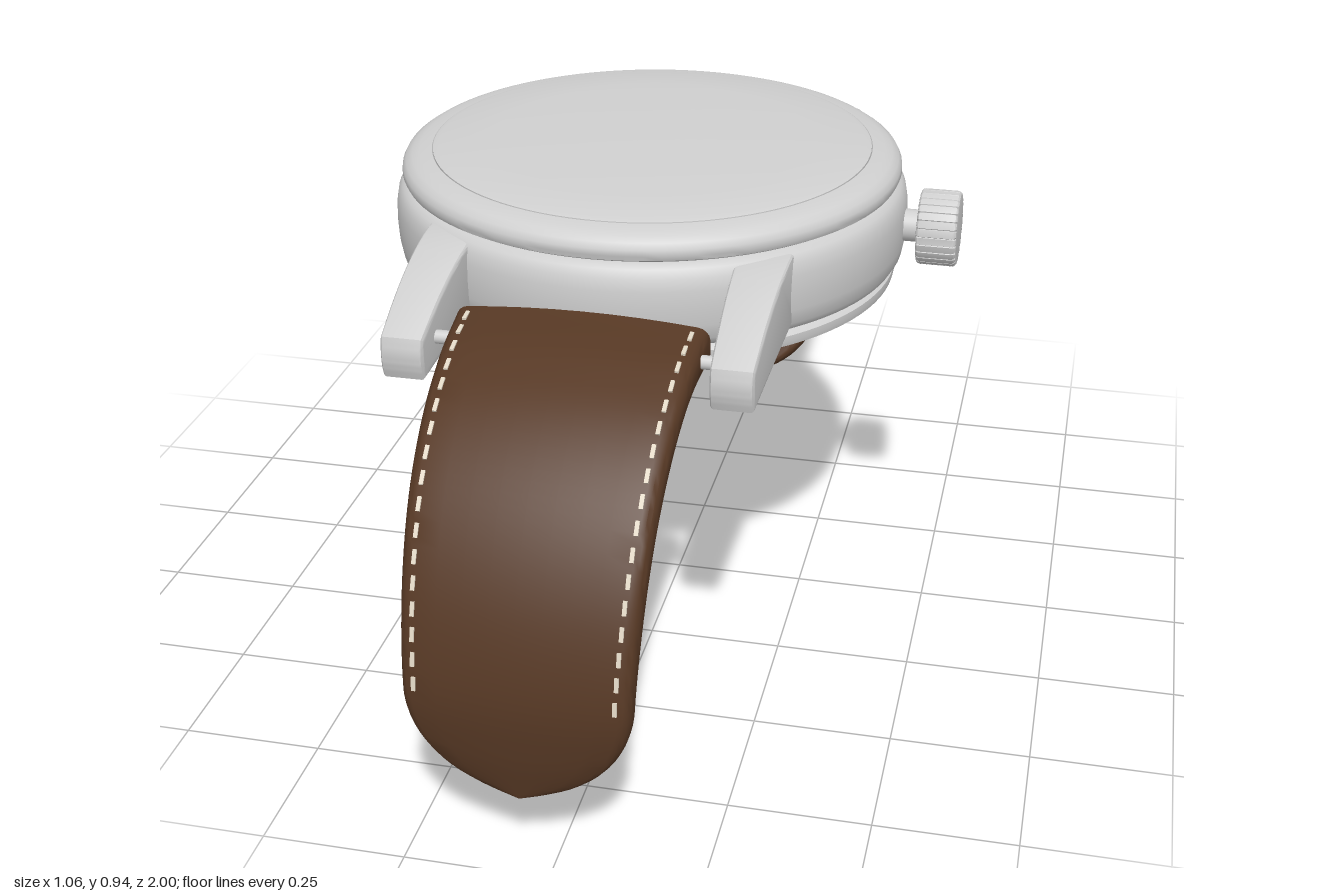
import * as THREE from 'three';
import { toCreasedNormals } from 'three/addons/utils/BufferGeometryUtils.js';

const steel = new THREE.MeshStandardMaterial({ color: 0xd0d0d0 });
steel.name = 'steel';
const leather = new THREE.MeshStandardMaterial({ color: 0x563824 });
leather.name = 'brownLeather';
const thread = new THREE.MeshStandardMaterial({ color: 0xe0d6c4 });
thread.name = 'creamThread';
const holeDark = new THREE.MeshStandardMaterial({ color: 0x1c120b });
holeDark.name = 'holeDark';

function add(parent, name, geometry, material) {
  const mesh = new THREE.Mesh(geometry, material);
  mesh.name = name;
  parent.add(mesh);
  return mesh;
}

// Turned part from a bottom-to-top [radius, height] profile
function turned(profile) {
  const pts = profile.map(([r, y]) => new THREE.Vector2(r, y));
  return toCreasedNormals(new THREE.LatheGeometry(pts, 96), 0.6);
}

// Lug: side profile extruded across, narrowing towards its tip
function lugGeometry() {
  const bevel = 0.008, width = 0.095;
  const s = new THREE.Shape();
  s.moveTo(0.3, 0.745);
  s.quadraticCurveTo(0.45, 0.738, 0.635, 0.72);
  s.quadraticCurveTo(0.647, 0.75, 0.637, 0.781);
  s.quadraticCurveTo(0.49, 0.855, 0.36, 0.86);
  s.lineTo(0.3, 0.86);
  const g = new THREE.ExtrudeGeometry(s, {
    depth: width - 2 * bevel, bevelSize: bevel, bevelThickness: bevel, bevelSegments: 3, curveSegments: 10,
  });
  g.translate(0, 0, bevel - width / 2).rotateY(-Math.PI / 2);
  const p = g.attributes.position;
  for (let i = 0; i < p.count; i++) {
    const k = THREE.MathUtils.clamp((p.getZ(i) - 0.36) / 0.29, 0, 1);
    p.setX(i, p.getX(i) * (1 - 0.22 * k));
  }
  return toCreasedNormals(g, 0.5);
}

// Knurled crown with its axis along x
function crownGeometry() {
  const s = new THREE.Shape(), teeth = 28;
  for (let i = 0; i < teeth * 4; i++) {
    const a = (i / (teeth * 4)) * Math.PI * 2, r = i % 4 < 2 ? 0.062 : 0.056;
    if (i) s.lineTo(r * Math.cos(a), r * Math.sin(a));
    else s.moveTo(r, 0);
  }
  const g = new THREE.ExtrudeGeometry(s, { depth: 0.059, bevelSize: 0.008, bevelThickness: 0.008, bevelSegments: 3 });
  g.translate(0, 0, 0.008).rotateY(Math.PI / 2);
  return toCreasedNormals(g, 0.5);
}

// Strap: a crowned, soft-edged section swept along a curve, ending in a round tip
function makeStrap(name, path, holeCount) {
  const group = new THREE.Group();
  group.name = name;
  const curve = new THREE.CatmullRomCurve3(path.map(([z, y]) => new THREE.Vector3(0, y, z)));
  const len = curve.getLength(), tip = 0.19, body = len - tip, crown = 0.013;
  const halfWidth = (d) => THREE.MathUtils.lerp(0.22, 0.19, Math.min(d / body, 1));
  const halfThick = (d) => THREE.MathUtils.lerp(0.04, 0.0325, Math.min(d / 0.15, 1));
  const frame = (d) => {
    const u = Math.min(d / len, 1), t = curve.getTangentAt(u);
    return { p: curve.getPointAt(u), t, n: new THREE.Vector3(0, t.z, -t.y) };
  };

  // Section outline, counter-clockwise from the right side
  const section = (w, h) => {
    const r = Math.min(0.02, w * 0.9), out = [];
    const corner = (sx, sy, from) => {
      for (let i = 0; i <= 4; i++) {
        const a = from + (i / 4) * (Math.PI / 2);
        out.push([sx * (w - r) + r * Math.cos(a), sy * (h - r) + r * Math.sin(a)]);
      }
    };
    corner(1, 1, 0);
    for (let i = 1; i < 8; i++) out.push([(w - r) * (1 - i / 4), h]);
    corner(-1, 1, Math.PI / 2);
    corner(-1, -1, Math.PI);
    corner(1, -1, Math.PI * 1.5);
    return out.map(([x, y]) => [x, y > 0 ? y - crown * (x / w) ** 2 : y]);
  };

  const stations = [];
  for (let i = 0; i < 36; i++) {
    const d = (body * i) / 36;
    stations.push([d, halfWidth(d)]);
  }
  for (let i = 0; i <= 16; i++) {
    const a = (i / 16) * 1.5;
    stations.push([body + tip * Math.sin(a), 0.19 * Math.cos(a)]);
  }

  const pos = [], index = [];
  let m = 0;
  stations.forEach(([d, w], i) => {
    const { p, n } = frame(d), ring = section(w, halfThick(d));
    m = ring.length;
    ring.forEach(([x, h], j) => {
      pos.push(x, p.y + n.y * h, p.z + n.z * h);
      if (i === stations.length - 1) return;
      const a = i * m + j, b = i * m + ((j + 1) % m);
      index.push(a, b, a + m, b, b + m, a + m);
    });
  });
  const last = (stations.length - 1) * m;
  for (let j = 1; j < m - 1; j++) {
    index.push(0, j + 1, j, last, last + j, last + j + 1);
  }
  const g = new THREE.BufferGeometry();
  g.setAttribute('position', new THREE.Float32BufferAttribute(pos, 3));
  g.setIndex(index);
  add(group, 'strapLeather', toCreasedNormals(g, 0.65), leather);

  // Lay a thin detail on the outer face
  const place = (mesh, d, x) => {
    const { p, t, n } = frame(d);
    const h = halfThick(d) - crown * (x / halfWidth(d)) ** 2;
    mesh.quaternion.setFromRotationMatrix(new THREE.Matrix4().makeBasis(new THREE.Vector3(1, 0, 0), n, t));
    mesh.position.copy(p).addScaledVector(n, h);
    mesh.position.x = x;
  };

  // Stitching along both edges
  const dash = new THREE.BoxGeometry(0.007, 0.006, 0.024);
  for (const side of [-1, 1]) {
    for (let d = 0.03; d < body; d += 0.04) {
      place(add(group, 'stitch', dash, thread), d, side * (halfWidth(d) - 0.025));
    }
  }

  // Buckle holes
  const dot = new THREE.CylinderGeometry(0.007, 0.007, 0.004, 16);
  for (let i = 0; i < holeCount; i++) {
    place(add(group, 'buckleHole', dot, holeDark), 0.43 + i * 0.07, 0);
  }

  // Spring bar between the lugs
  const bar = add(group, 'springBar', new THREE.CylinderGeometry(0.012, 0.012, 0.5, 16).rotateZ(Math.PI / 2), steel);
  bar.position.set(0, 0.765, 0.58);
  return group;
}

export function createModel() {
  const model = new THREE.Group();
  model.name = 'wristwatch';
  const watch = new THREE.Group();
  watch.name = 'watch';
  watch.position.x = -0.052;
  model.add(watch);

  // Case, from the back plate up to the domed crystal
  add(watch, 'caseBack', turned([
    [0, 0.685], [0.452, 0.685], [0.46, 0.689], [0.462, 0.697], [0.462, 0.708], [0.455, 0.714], [0.45, 0.716], [0.45, 0.73],
  ]), steel);
  add(watch, 'caseBody', turned([
    [0.44, 0.717], [0.455, 0.718], [0.467, 0.725], [0.475, 0.738], [0.48, 0.765], [0.482, 0.8],
    [0.481, 0.83], [0.477, 0.852], [0.469, 0.867], [0.458, 0.874], [0.44, 0.875],
  ]), steel);
  add(watch, 'bezel', turned([
    [0.44, 0.87], [0.455, 0.876], [0.464, 0.881], [0.468, 0.89], [0.467, 0.901], [0.461, 0.912],
    [0.449, 0.92], [0.435, 0.925], [0.412, 0.928], [0.408, 0.922],
  ]), steel);
  add(watch, 'crystal', turned([
    [0.41, 0.92], [0.41, 0.929], [0.4, 0.932], [0.3, 0.938], [0.2, 0.942], [0.1, 0.944], [0, 0.945],
  ]), steel);

  // Crown and stem
  const stem = add(watch, 'crownStem', new THREE.CylinderGeometry(0.03, 0.03, 0.07, 32).rotateZ(Math.PI / 2), steel);
  stem.position.set(0.49, 0.8, 0);
  add(watch, 'crown', crownGeometry(), steel).position.set(0.507, 0.8, 0);

  // Four lugs
  const lug = lugGeometry();
  for (const turn of [0, Math.PI]) {
    const pair = new THREE.Group();
    pair.name = 'lugPair';
    pair.rotation.y = turn;
    for (const side of [-1, 1]) add(pair, 'lug', lug, steel).position.x = side * 0.28;
    watch.add(pair);
  }

  // Short buckle-side strap in front, longer holed strap behind
  const shared = [[0.525, 0.774], [0.64, 0.755], [0.75, 0.705], [0.85, 0.617], [0.925, 0.49], [0.966, 0.34]];
  watch.add(makeStrap('frontStrap', [...shared, [0.963, 0.24], [0.947, 0.147]], 0));
  const back = makeStrap('backStrap', [...shared, [0.964, 0.24], [0.942, 0.13], [0.893, 0.016]], 7);
  back.rotation.y = Math.PI;
  watch.add(back);
  return model;
}
